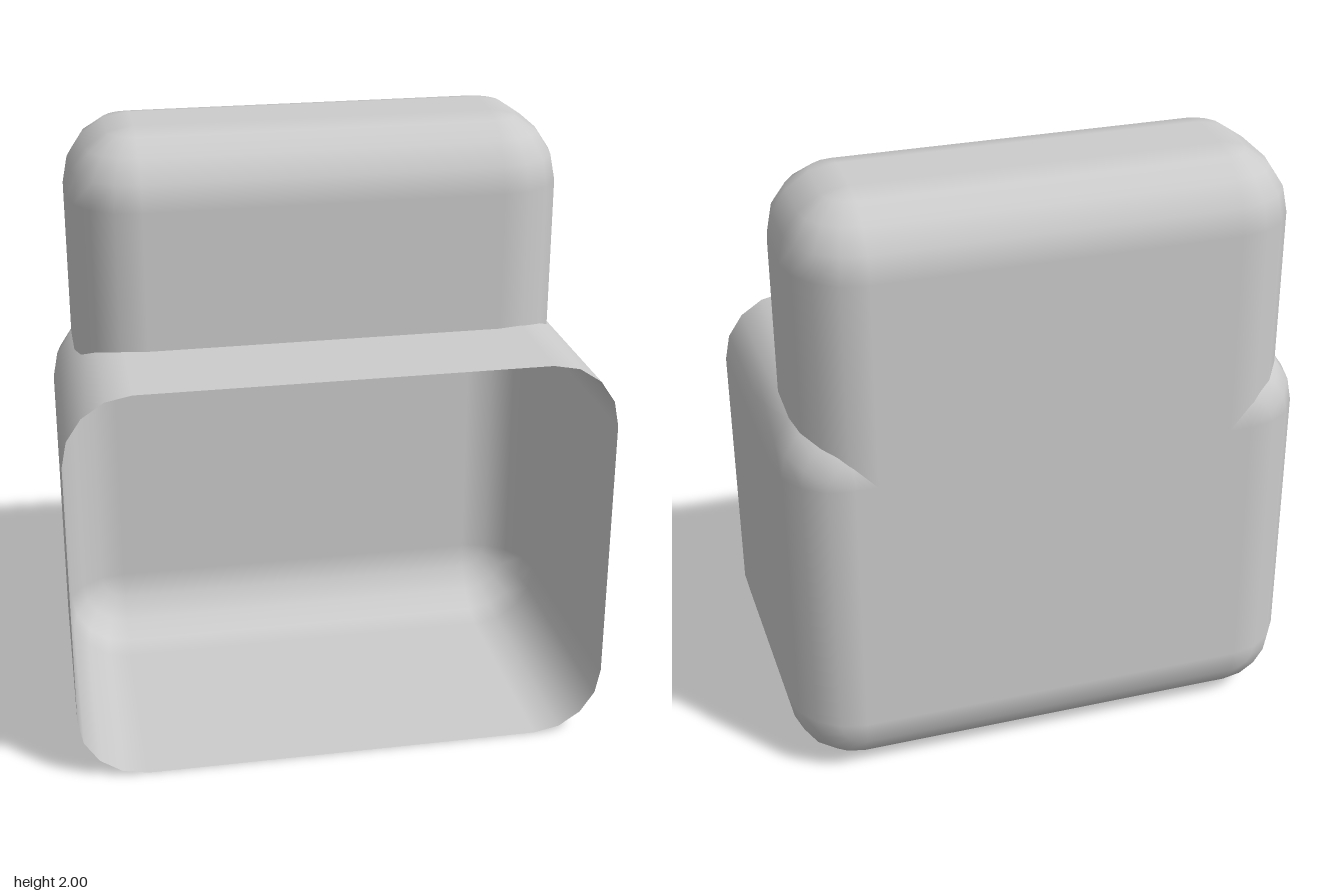
import * as THREE from 'three';

const R = 0.22, SEG = 4;           // corner radius and sides per corner
const BACK = -0.26;                // z where the body starts rounding to its back
const BODY_X = 0.87, BODY_H = 1.33;
const TANK_X = 0.79, TANK_Z = 0.3075, TANK_MID = -0.1725;
const taper = z => 1 - 0.015 * Math.min(1, (0.48 - z) / 0.74);

// Rounded rectangle cup: open at w = 0, straight to w = straight, then rounded to a flat end
function cupGeometry(hu, hv, straight) {
  const pos = [], nor = [], index = [];
  const corners = [[1, 1], [-1, 1], [-1, -1], [1, -1]];
  const n = 4 * (SEG + 1);
  const ring = (w, a) => corners.forEach(([su, sv], c) => {
    for (let k = 0; k <= SEG; k++) {
      const t = (c + k / SEG) * Math.PI / 2, ca = Math.cos(a);
      pos.push(su * (hu - R) + R * ca * Math.cos(t), sv * (hv - R) + R * ca * Math.sin(t), w);
      nor.push(Math.cos(t) * ca, Math.sin(t) * ca, Math.sin(a));
    }
  });
  ring(0, 0);
  for (let i = 0; i <= SEG; i++) {
    const a = i / SEG * Math.PI / 2;
    ring(straight + R * Math.sin(a), a);
  }
  const last = SEG + 1;
  for (let i = 0; i < last; i++) for (let j = 0; j < n; j++) {
    const a = i * n + j, b = i * n + (j + 1) % n;
    index.push(a, b, b + n, a, b + n, a + n);
  }
  for (let j = 1; j < n - 1; j++) index.push(last * n, last * n + j, last * n + j + 1);
  const g = new THREE.BufferGeometry();
  g.setAttribute('position', new THREE.Float32BufferAttribute(pos, 3));
  g.setAttribute('normal', new THREE.Float32BufferAttribute(nor, 3));
  g.setIndex(index);
  g.userData.ringSize = n;
  return g;
}

// Height of the body's upper surface, where the tank wall lands
function bodyTop(x, z) {
  const c = (BODY_X - R) * taper(z);
  const r2 = R * R - Math.max(0, BACK - z) ** 2;
  return BODY_H - R + Math.sqrt(Math.max(0, r2 - Math.max(0, Math.abs(x) - c) ** 2));
}

// Split a polygon by a line; returns the parts with d < 0 and d >= 0
function split(poly, d) {
  const out = [], inside = [];
  poly.forEach((p, i) => {
    const q = poly[(i + 1) % poly.length], dp = d(p), dq = d(q);
    (dp < 0 ? out : inside).push(p);
    if ((dp < 0) !== (dq < 0)) {
      const t = dp / (dp - dq), m = p.map((v, k) => v + (q[k] - v) * t);
      out.push(m);
      inside.push(m);
    }
  });
  return [out, inside];
}

// Cut the tank footprint out of the body's top
function cutOpening(geometry, outline) {
  const g = geometry.toNonIndexed(), P = g.attributes.position, N = g.attributes.normal;
  const pos = [], nor = [];
  const emit = poly => {
    for (let k = 1; k < poly.length - 1; k++) for (const v of [poly[0], poly[k], poly[k + 1]]) {
      pos.push(v[0], v[1], v[2]);
      nor.push(v[3], v[4], v[5]);
    }
  };
  const lines = outline.map(([x, z], i) => {
    const [x2, z2] = outline[(i + 1) % outline.length];
    const f = (px, pz) => (x2 - x) * (pz - z) - (z2 - z) * (px - x);
    const s = Math.sign(f(0, TANK_MID));
    return p => s * f(p[0], p[2]);
  });
  for (let i = 0; i < P.count; i += 3) {
    let poly = [0, 1, 2].map(k => [P.getX(i + k), P.getY(i + k), P.getZ(i + k),
      N.getX(i + k), N.getY(i + k), N.getZ(i + k)]);
    if (!poly.every(v => v[1] > BODY_H - R - 0.01 && v[2] > -0.4799) && !poly.some(v => v[1] > BODY_H - R + 0.01)) {
      emit(poly);
      continue;
    }
    for (const d of lines) {
      const [out, inside] = split(poly, d);
      emit(out);
      poly = inside;
      if (poly.length < 3) break;
    }
  }
  const r = new THREE.BufferGeometry();
  r.setAttribute('position', new THREE.Float32BufferAttribute(pos, 3));
  r.setAttribute('normal', new THREE.Float32BufferAttribute(nor, 3));
  return r;
}

export function createModel() {
  const group = new THREE.Group();
  const grey = new THREE.MeshStandardMaterial({ color: 0xcccccc, side: THREE.DoubleSide });
  grey.name = 'plain grey';

  // Upper tank: open below, its rim follows the body surface
  const tankGeo = cupGeometry(TANK_X, TANK_Z, 2 - R).rotateX(-Math.PI / 2).translate(0, 0, TANK_MID);
  const tp = tankGeo.attributes.position, outline = [];
  for (let i = 0; i < tankGeo.userData.ringSize; i++) {
    const x = tp.getX(i), z = tp.getZ(i);
    outline.push([x, z]);
    tp.setY(i, bodyTop(x, z) - 0.006);
  }
  const tank = new THREE.Mesh(tankGeo, grey);
  tank.name = 'upperTank';

  // Lower body: hollow, open at the front, slightly narrower toward the back
  const bodyGeo = cupGeometry(BODY_X, BODY_H / 2, 0.48 - BACK)
    .rotateY(Math.PI).translate(0, BODY_H / 2, 0.48);
  const bp = bodyGeo.attributes.position;
  for (let i = 0; i < bp.count; i++) bp.setX(i, bp.getX(i) * taper(bp.getZ(i)));
  const body = new THREE.Mesh(cutOpening(bodyGeo, outline), grey);
  body.name = 'openBody';

  group.add(body, tank);
  return group;
}
